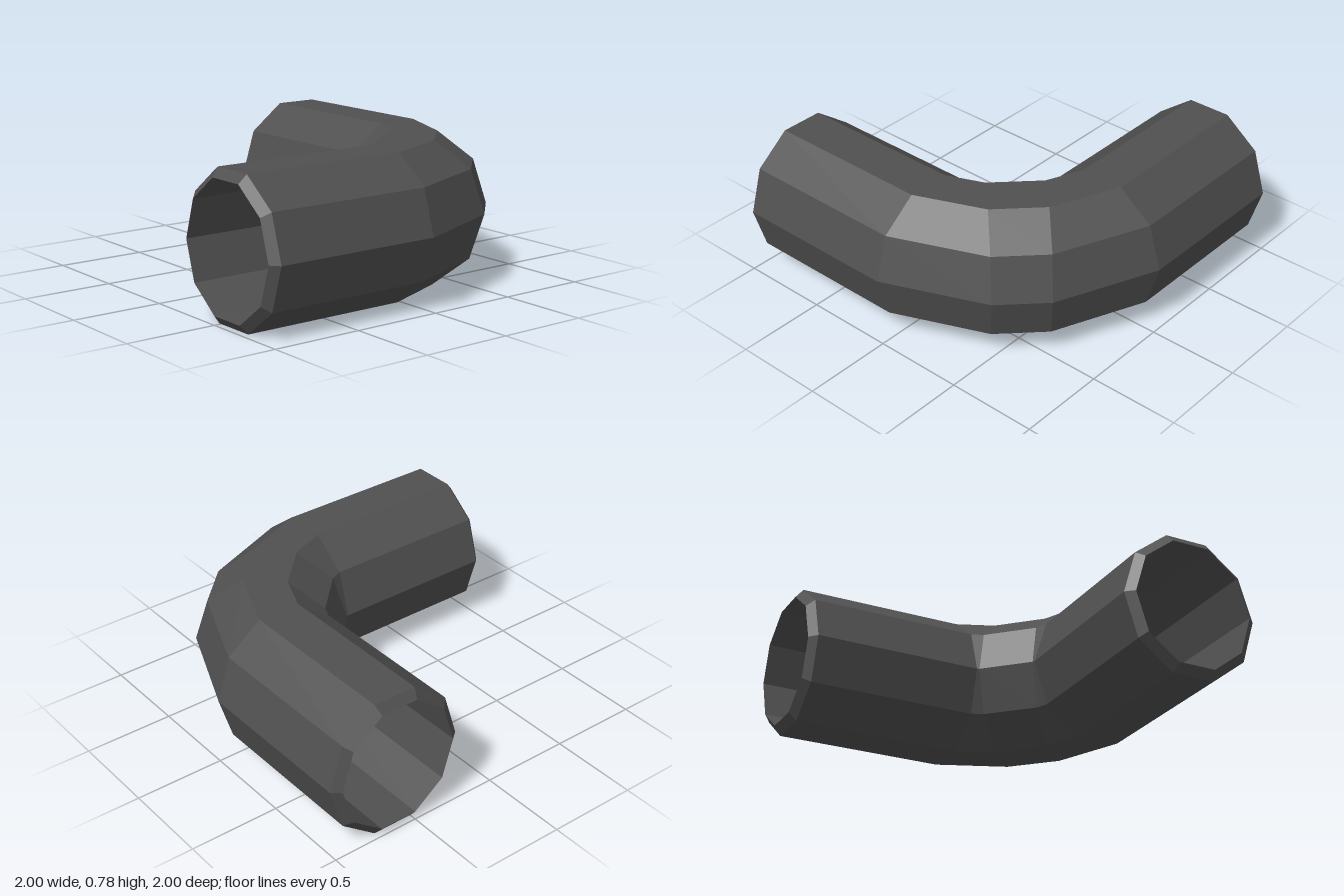
import * as THREE from 'three';

const SIDES = 10, RH = 0.392, RV = 0.412, MID = 0.607, RIM = 0.88;

// Skin ten-sided rings together; each station is [x, z, turn in degrees, scale]
function skin(stations) {
  const pos = [], index = [];
  for (const [x, z, deg, s] of stations) {
    const a = THREE.MathUtils.degToRad(deg);
    for (let i = 0; i < SIDES; i++) {
      const t = (i / SIDES) * Math.PI * 2;
      const out = Math.cos(t) * RH * s;
      pos.push(x + out * Math.sin(a), 0.392 + Math.sin(t) * RV * s, z + out * Math.cos(a));
    }
  }
  for (let k = 0; k < stations.length - 1; k++) {
    for (let i = 0; i < SIDES; i++) {
      const j = (i + 1) % SIDES;
      const a = k * SIDES + i, b = k * SIDES + j;
      const c = a + SIDES, d = b + SIDES;
      index.push(a, c, b, b, c, d);
    }
  }
  const geo = new THREE.BufferGeometry();
  geo.setAttribute('position', new THREE.Float32BufferAttribute(pos, 3));
  geo.setIndex(index);
  const flat = geo.toNonIndexed();
  flat.computeVertexNormals();
  return flat;
}

// Full path from one half: the second half mirrors it across the elbow diagonal
const bothHalves = (half) => [
  ...half,
  ...half.slice().reverse().map(([x, z, deg, s]) => [z, x, 90 - deg, s]),
];

export function createModel() {
  const group = new THREE.Group();
  group.name = 'pipeElbow';
  const darkGrey = new THREE.MeshStandardMaterial({ color: 0x505050, flatShading: true });
  darkGrey.name = 'dark grey';

  const add = (name, stations) => {
    const mesh = new THREE.Mesh(skin(stations), darkGrey);
    mesh.name = name;
    group.add(mesh);
  };

  // Outer wall with chamfered ends
  add('outerWall', bothHalves([
    [-1, MID, 0, RIM],
    [-0.96, MID, 0, 1],
    [-0.02, MID, 0, 1],
    [0.27, 0.487, 45, 1],
  ]));

  // Bore: same path, narrower, run backwards so it faces inward
  add('innerWall', bothHalves([
    [-1, MID, 0, RIM],
    [-0.02, MID, 0, RIM],
    [0.27, 0.487, 45, RIM],
  ]).reverse());

  return group;
}
